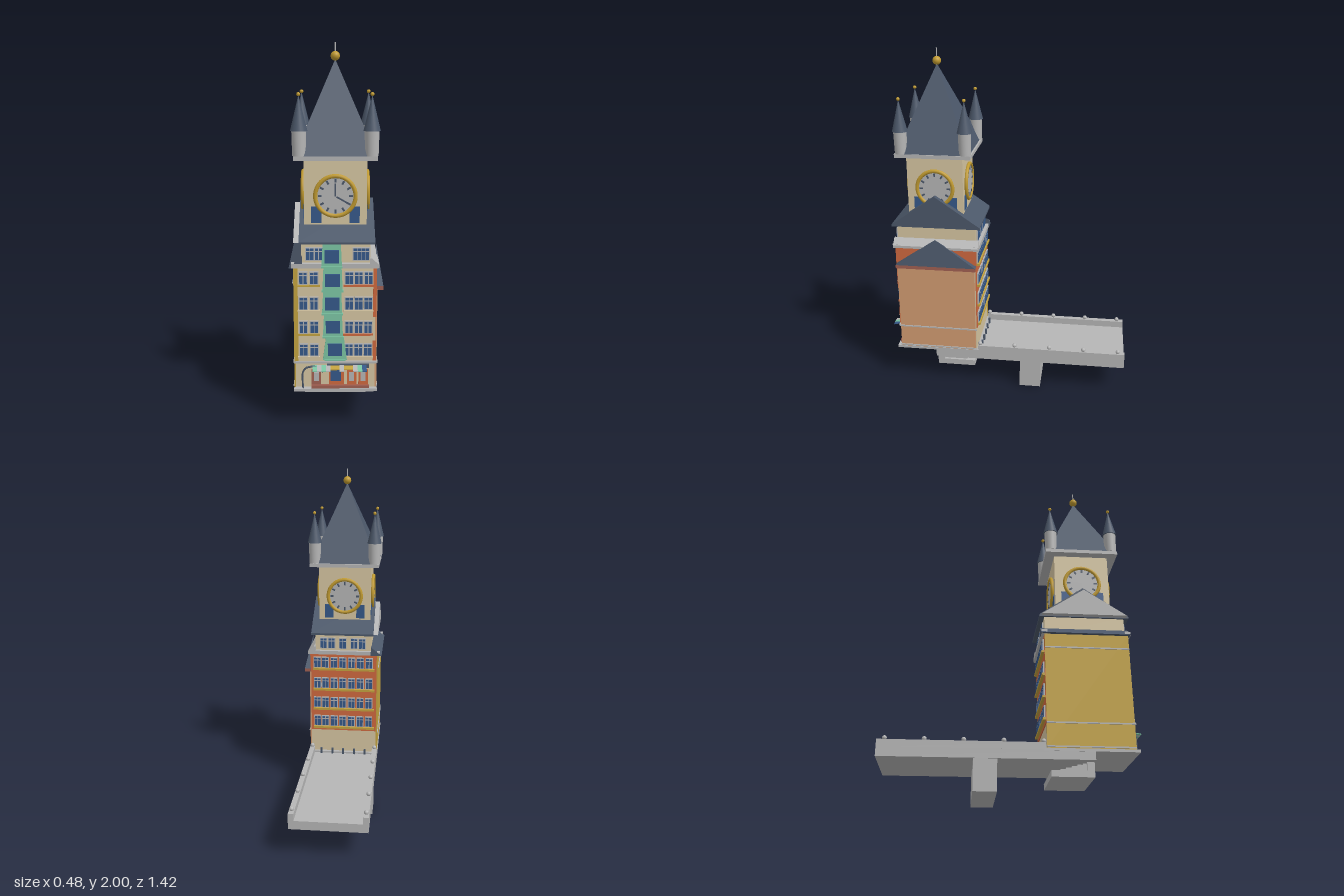
import * as THREE from 'three';

const mat = (name, color) => {
  const m = new THREE.MeshStandardMaterial({ color });
  m.name = name;
  return m;
};

export function createModel() {
  const slate = mat('slate', 0x4c586a), grey = mat('stone grey', 0xb6b6b6), cream = mat('cream', 0xd6c6a2),
    gold = mat('gold', 0xc09a30), blue = mat('window blue', 0x36598a), green = mat('bay green', 0x7cc6a4),
    orange = mat('orange', 0xd0693f), yellow = mat('yellow', 0xc4a340), tan = mat('tan', 0xd39c72),
    brick = mat('brick red', 0xa26052);
  const model = new THREE.Group();
  const CZ = 0.41, CX = -0.005; // tower axis

  const add = (name, geo, m, x = 0, y = 0, z = 0, parent = model) => {
    const mesh = new THREE.Mesh(geo, m);
    mesh.name = name;
    mesh.position.set(x, y, z);
    parent.add(mesh);
    return mesh;
  };
  // box given by its limits on each axis
  const box = (name, m, x0, x1, y0, y1, z0, z1, parent = model) =>
    add(name, new THREE.BoxGeometry(x1 - x0, y1 - y0, z1 - z0), m,
      (x0 + x1) / 2, (y0 + y1) / 2, (z0 + z1) / 2, parent);
  const extrude = (pts, depth) => new THREE.ExtrudeGeometry(
    new THREE.Shape(pts.map(p => new THREE.Vector2(...p))), { depth, bevelEnabled: false });
  // profile in (z, y) swept along x, and profile in (x, y) swept along z
  const alongX = (name, m, pts, x0, x1) =>
    add(name, extrude(pts, x1 - x0).rotateY(-Math.PI / 2), m, x1);
  const alongZ = (name, m, pts, z0, z1) => add(name, extrude(pts, z1 - z0), m, 0, 0, z0);

  // bridge deck, parapets with knobs, pier
  box('bridgeDeck', grey, -0.22, 0.21, 0.17, 0.22, -0.71, 0.43);
  box('bridgePier', grey, -0.215, 0.21, 0, 0.17, -0.21, -0.085);
  for (const [x0, x1] of [[-0.22, -0.19], [0.18, 0.21]]) {
    box('parapet', grey, x0, x1, 0.22, 0.26, -0.71, 0.17);
    for (const z of [-0.67, -0.465, -0.26, -0.05, 0.16])
      add('parapetKnob', new THREE.SphereGeometry(0.013, 12, 8), grey, (x0 + x1) / 2, 0.27, z);
  }

  // steps under the building
  box('stairBase', grey, -0.175, 0.165, 0.09, 0.125, 0.2, 0.43);
  box('stairWall', grey, -0.175, 0.165, 0.125, 0.17, 0.39, 0.43);
  for (let i = 0; i < 5; i++)
    box('stairStep', grey, -0.16, 0.15, 0.125, 0.135 + i * 0.008, 0.25 + i * 0.03, 0.39);

  // main block with painted side walls
  box('basePlate', grey, -0.222, 0.212, 0.215, 0.23, 0.16, 0.67);
  box('mainBlock', cream, -0.212, 0.2, 0.23, 0.89, 0.18, 0.645);
  box('leftWall', yellow, -0.22, -0.212, 0.23, 0.89, 0.175, 0.65);
  box('rightWall', tan, 0.2, 0.21, 0.23, 0.77, 0.185, 0.645);
  box('rightUpperWall', orange, 0.2, 0.206, 0.77, 0.89, 0.18, 0.645);
  for (const y of [0.235, 0.365, 0.8])
    box('leftBand', grey, -0.225, -0.22, y, y + 0.008, 0.175, 0.65);
  for (const y of [0.235, 0.365])
    box('rightBand', grey, 0.21, 0.215, y, y + 0.008, 0.175, 0.65);

  // low gable on the right wall, leaning back
  box('rightEave', brick, 0.2, 0.24, 0.765, 0.785, 0.175, 0.645);
  const lean = new THREE.BufferGeometry();
  lean.setAttribute('position', new THREE.Float32BufferAttribute([
    0.24, 0.785, 0.645, 0.24, 0.785, 0.175, 0.215, 0.945, CZ,
    0.24, 0.785, 0.175, 0.2, 0.785, 0.175, 0.215, 0.945, CZ,
    0.2, 0.785, 0.645, 0.24, 0.785, 0.645, 0.215, 0.945, CZ], 3));
  lean.computeVertexNormals();
  add('rightLowGable', lean, slate);

  // cornice and lean roofs around the fourth floor
  alongZ('leftLeanRoof', slate, [[-0.242, 0.885], [-0.175, 0.885], [-0.175, 0.94]], 0.155, 0.66);
  alongZ('rightCornice', grey, [[0.17, 0.885], [0.218, 0.885], [0.218, 0.9], [0.18, 0.935], [0.17, 0.935]], 0.16, 0.66);
  box('frontCornice', grey, -0.23, 0.212, 0.885, 0.908, 0.63, 0.663);
  box('backCornice', grey, -0.23, 0.212, 0.885, 0.908, 0.157, 0.19);
  box('topFloor', cream, -0.178, 0.172, 0.89, 1.02, 0.18, 0.64);

  // facades: framed windows; side = 1 front, -1 back
  const frameGeo = new THREE.BoxGeometry(0.046, 0.07, 0.008);
  const paneGeo = new THREE.BoxGeometry(0.017, 0.042, 0.004);
  const lightGeo = new THREE.BoxGeometry(0.017, 0.012, 0.004);
  const windowAt = (x, y, z, side) => {
    const g = new THREE.Group();
    g.name = 'window';
    g.position.set(x, y, z);
    add('windowFrame', frameGeo, grey, 0, 0, side * 0.004, g);
    for (const s of [-1, 1]) {
      add('windowPane', paneGeo, blue, s * 0.0105, -0.01, side * 0.008, g);
      add('windowLight', lightGeo, blue, s * 0.0105, 0.023, side * 0.008, g);
    }
    model.add(g);
  };
  const rows = [0.44, 0.565, 0.695, 0.83];
  rows.forEach((y, i) => {
    for (const x of [-0.17, -0.115, 0.065, 0.114, 0.163]) windowAt(x, y, 0.645, 1);
    box('frontSillLeft', i % 2 ? yellow : cream, -0.2, -0.085, y - 0.045, y - 0.036, 0.645, 0.657);
    box('frontSillRight', i % 2 ? orange : cream, 0.035, 0.19, y - 0.045, y - 0.036, 0.645, 0.657);
    for (const x of [-0.165, -0.11, -0.055, 0.0, 0.055, 0.11, 0.16]) windowAt(x, y, 0.174, -1);
    box('backSill', yellow, -0.2, 0.185, y - 0.05, y - 0.037, 0.158, 0.175);
  });
  box('backWall', orange, -0.212, 0.2, 0.375, 0.885, 0.174, 0.18);
  box('frontYellowStrip', yellow, -0.22, -0.198, 0.375, 0.885, 0.645, 0.65);
  for (const [y0, y1] of [[0.38, 0.49], [0.62, 0.885]])
    box('frontOrangeStrip', orange, 0.188, 0.206, y0, y1, 0.645, 0.65);
  for (const x of [-0.135, -0.09, 0.105, 0.145]) windowAt(x, 0.955, 0.64, 1);
  for (const x of [-0.12, -0.07, 0.0, 0.07, 0.12]) windowAt(x, 0.955, 0.18, -1);

  // winding green bay
  [[-0.008, 0.39], [-0.018, 0.515], [-0.022, 0.64], [-0.02, 0.765], [-0.024, 0.89]].forEach(([x, y], i) => {
    const h = 0.123;
    const lower = i === 0 ? 0.062 : 0.052;
    alongZ('greenBay', green, [[x - lower, y], [x + lower, y], [x + 0.046, y + h], [x - 0.046, y + h]], 0.63, 0.664);
    box('bayWindow', blue, x - 0.037, x + 0.037, y + 0.022, y + 0.09, 0.664, 0.668);
    box('bayLedge', green, x - 0.055, x + 0.055, y - 0.005, y + 0.004, 0.64, 0.669);
  });

  // shop floor
  box('floorBand', grey, -0.222, 0.21, 0.365, 0.376, 0.64, 0.656);
  box('shopFront', orange, -0.04, 0.04, 0.24, 0.34, 0.645, 0.65);
  box('shopWindow', blue, -0.03, 0.025, 0.265, 0.33, 0.65, 0.654);
  box('shopSign', slate, -0.05, 0.17, 0.34, 0.36, 0.645, 0.654);
  box('shopStep', brick, -0.13, 0.17, 0.23, 0.245, 0.645, 0.665);
  for (const x of [-0.105, 0.08, 0.14]) {
    box('shopDoor', x < 0 ? brick : orange, x - 0.025, x + 0.025, 0.245, 0.33, 0.645, 0.65);
    box('doorGlass', grey, x - 0.013, x + 0.013, 0.265, 0.315, 0.65, 0.653);
  }
  const arch = new THREE.CatmullRomCurve3([[-0.175, 0.23], [-0.175, 0.32], [-0.155, 0.345], [-0.09, 0.345], [-0.07, 0.32]]
    .map(([x, y]) => new THREE.Vector3(x, y, 0.66)));
  add('entranceRail', new THREE.TubeGeometry(arch, 20, 0.005, 6), slate);
  const stripes = [green, grey, green, grey, yellow, yellow, grey, yellow, yellow, grey, green, blue];
  stripes.forEach((m, i) => {
    const x = -0.125 + i * 0.0235;
    const awning = box('awningStripe', m, x, x + 0.0235, 0.346, 0.35, 0.65, m === yellow ? 0.688 : 0.706);
    awning.rotation.x = 0.2;
  });
  for (let i = 0; i < 5; i++)
    box('backPost', slate, -0.15 + i * 0.07, -0.138 + i * 0.07, 0.22, 0.255, 0.15, 0.162);

  // cross roof with ridge along x
  alongX('mainRoof', slate, [[0.152, 1.01], [0.668, 1.01], [0.668, 1.022], [CZ, 1.2], [0.152, 1.022]], -0.19, 0.195);
  alongX('leftGableWall', grey, [[0.165, 1.015], [0.655, 1.015], [CZ, 1.175]], -0.218, -0.185);

  // clock tower
  box('towerShaft', cream, CX - 0.16, CX + 0.16, 1.02, 1.425, CZ - 0.16, CZ + 0.16);
  const discGeo = new THREE.CylinderGeometry(0.098, 0.098, 0.012, 40).rotateX(Math.PI / 2);
  const ringGeo = new THREE.TorusGeometry(0.102, 0.011, 10, 48);
  for (let k = 0; k < 4; k++) {
    const side = new THREE.Group();
    side.name = 'clockSide';
    side.position.set(CX, 1.24, CZ);
    side.rotation.y = k * Math.PI / 2;
    model.add(side);
    add('clockFace', discGeo, grey, 0, 0, 0.164, side);
    add('clockRing', ringGeo, gold, 0, 0, 0.168, side);
    for (let i = 0; i < 12; i++) {
      const a = i * Math.PI / 6;
      const tick = add('hourMark', new THREE.BoxGeometry(0.01, 0.02, 0.004), slate,
        Math.sin(a) * 0.079, Math.cos(a) * 0.079, 0.171, side);
      tick.rotation.z = -a;
    }
    if (k === 0) {
      box('minuteHand', slate, -0.004, 0.004, 0, 0.065, 0.17, 0.174, side);
      const hour = add('hourHand', new THREE.BoxGeometry(0.008, 0.075, 0.004), slate, 0.038, -0.022, 0.173, side);
      hour.rotation.z = Math.PI / 3;
    }
    for (const s of [-1, 1])
      box('bluePanel', blue, s * 0.098 - 0.026, s * 0.098 + 0.026, -0.14, -0.055, 0.16, 0.164, side);
  }
  box('towerCornice', grey, CX - 0.21, CX + 0.21, 1.425, 1.446, CZ - 0.215, CZ + 0.215);

  // spire, corner turrets and finials
  const spire = new THREE.ConeGeometry(0.205 * Math.SQRT2, 0.47, 4).rotateY(Math.PI / 4).toNonIndexed();
  spire.computeVertexNormals();
  add('spire', spire, slate, CX, 1.681, CZ);
  add('finialBall', new THREE.SphereGeometry(0.024, 20, 14), gold, CX, 1.932, CZ);
  add('finialRod', new THREE.CylinderGeometry(0.003, 0.004, 0.1, 8), grey, CX, 1.95, CZ);
  for (const sx of [-1, 1]) for (const sz of [-1, 1]) {
    const x = CX + sx * 0.181, z = CZ + sz * 0.181;
    add('turret', new THREE.CylinderGeometry(0.037, 0.034, 0.125, 24), grey, x, 1.5085, z);
    add('turretRoof', new THREE.ConeGeometry(0.043, 0.175, 24), slate, x, 1.6575, z);
    add('turretBall', new THREE.SphereGeometry(0.01, 12, 8), gold, x, 1.748, z);
  }
  return model;
}
